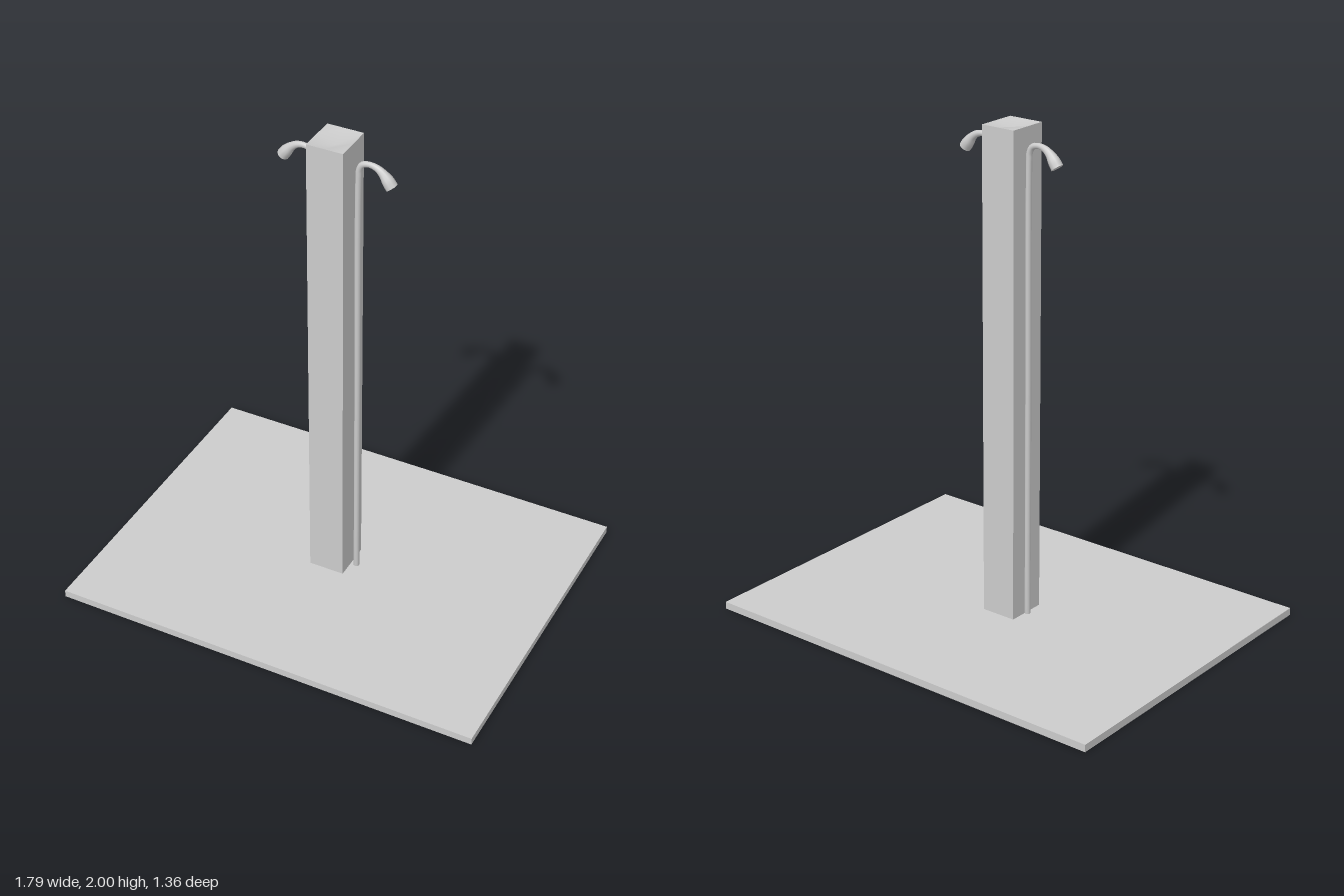
import * as THREE from 'three';

const material = new THREE.MeshStandardMaterial({ color: 0xcccccc });

// Closed tube of varying radius along a path of [x, y, radius] points, drifting slightly in z
function hookGeometry(points) {
  const sides = 10;
  const curve = new THREE.CatmullRomCurve3(points.map(([x, y, r]) => new THREE.Vector3(x, y, r)), false, 'centripetal');
  const steps = 40;
  const position = [];
  const index = [];
  const ring = (p, t, r) => {
    for (let j = 0; j < sides; j++) {
      const a = (j / sides) * Math.PI * 2;
      const z = 0.004 + 0.07 * Math.max(0, p.x - 0.09);
      position.push(p.x - t.y * Math.cos(a) * r, p.y + t.x * Math.cos(a) * r, z + Math.sin(a) * r);
    }
  };
  for (let i = 0; i <= steps; i++) {
    const p = curve.getPoint(i / steps);
    const t = curve.getTangent(i / steps).setZ(0).normalize();
    if (i === 0) ring(p, t, 0);
    ring(p, t, p.z);
    if (i === steps) {
      ring(p, t, p.z);
      ring(p, t, 0);
    }
  }
  const rings = position.length / 3 / sides;
  for (let i = 0; i < rings - 1; i++) {
    for (let j = 0; j < sides; j++) {
      const a = i * sides + j;
      const b = i * sides + ((j + 1) % sides);
      index.push(a, b, a + sides, b, b + sides, a + sides);
    }
  }
  const geometry = new THREE.BufferGeometry();
  geometry.setAttribute('position', new THREE.Float32BufferAttribute(position, 3));
  geometry.setIndex(index);
  geometry.computeVertexNormals();
  return geometry;
}

// Rectangular post whose top dips to a shallow central point
function postGeometry(width, height, depth, dip) {
  const geometry = new THREE.BoxGeometry(width, height, depth, 2, 1, 2);
  const pos = geometry.attributes.position;
  for (let i = 0; i < pos.count; i++) {
    const inside = Math.abs(pos.getX(i)) < 0.001 && Math.abs(pos.getZ(i)) < 0.001;
    if (inside && pos.getY(i) > 0) pos.setY(i, height / 2 - dip);
  }
  geometry.computeVertexNormals();
  return geometry;
}

export function createModel() {
  const model = new THREE.Group();
  const add = (name, geometry, parent = model) => {
    const mesh = new THREE.Mesh(geometry, material);
    mesh.name = name;
    parent.add(mesh);
    return mesh;
  };

  // Flat ground plate
  add('basePlate', new THREE.BoxGeometry(1.79, 0.03, 1.36)).position.y = 0.015;

  // Tall square post
  add('post', postGeometry(0.148, 1.98, 0.166, 0.025)).position.set(-0.024, 1.01, -0.002);

  // Two hooked rods, one turned half a circle from the other
  const hook = hookGeometry([
    [0.09, 0.03, 0.012], [0.09, 0.9, 0.012], [0.09, 1.87, 0.012],
    [0.093, 1.905, 0.012], [0.107, 1.928, 0.012], [0.135, 1.936, 0.011],
    [0.165, 1.931, 0.013], [0.19, 1.915, 0.017], [0.21, 1.893, 0.023], [0.227, 1.87, 0.024]
  ]);
  ['leftRod', 'rightRod'].forEach((name, i) => {
    const rod = add(name, hook);
    rod.position.x = -0.016;
    rod.rotation.y = i * Math.PI;
  });
  return model;
}
